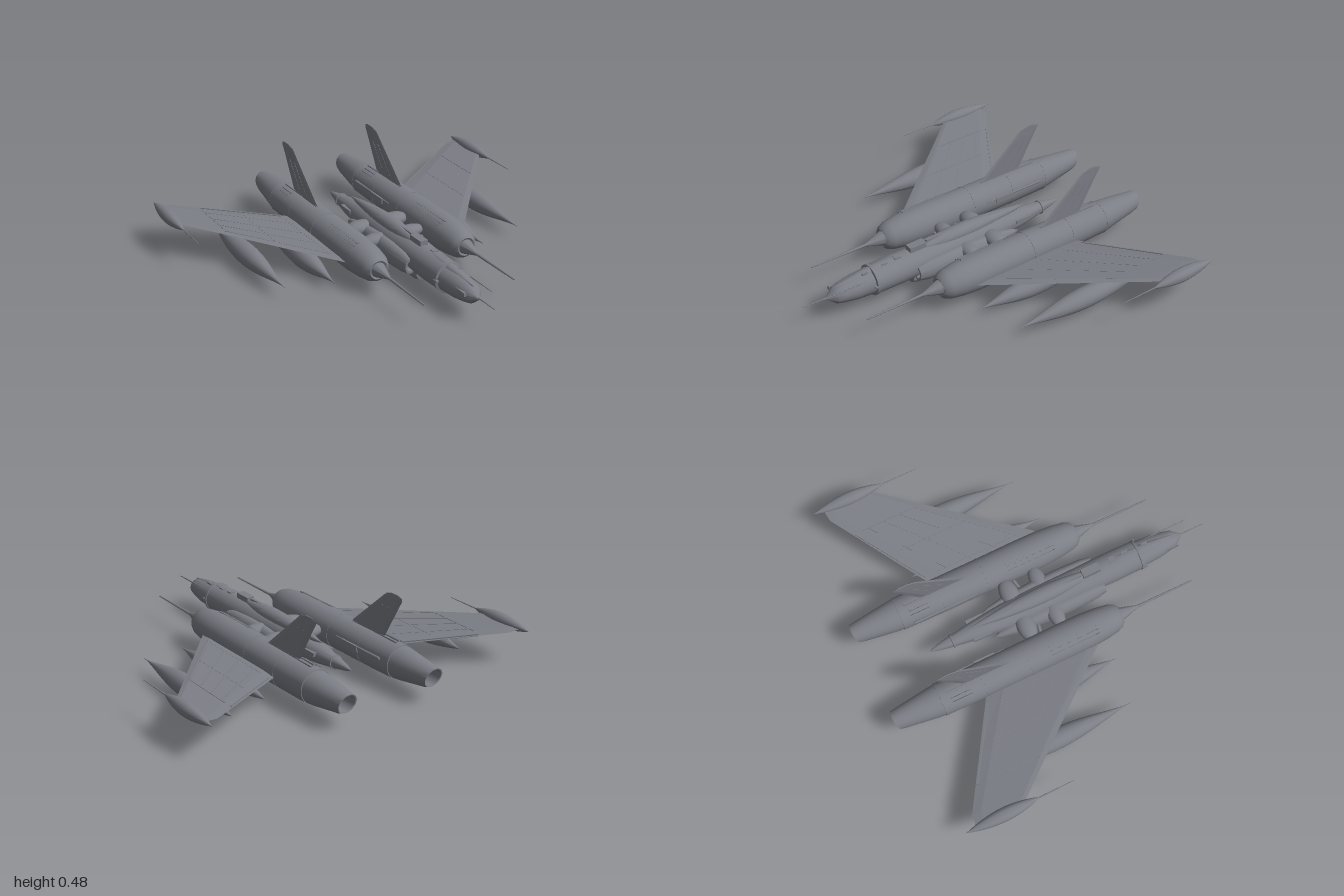
import * as THREE from 'three';
import { toCreasedNormals } from 'three/addons/utils/BufferGeometryUtils.js';

export function createModel() {
  const root = new THREE.Group();
  root.name = 'twinEngineAircraft';
  const hull = new THREE.MeshStandardMaterial({ color: 0x7c7e86 });
  hull.name = 'hullGrey';

  const add = (name, geo, x = 0, y = 0, z = 0) => {
    const mesh = new THREE.Mesh(geo, hull);
    mesh.name = name;
    mesh.position.set(x, y, z);
    root.add(mesh);
    return mesh;
  };
  const box = (name, w, h, d, x, y, z) => add(name, new THREE.BoxGeometry(w, h, d), x, y, z);

  // Body of revolution along z from [radius, z] pairs, rear to front
  const body = (pts, sx = 1, sy = 1, seg = 32) => {
    const g = new THREE.LatheGeometry(pts.map(([r, z]) => new THREE.Vector2(r, z)), seg);
    g.rotateX(Math.PI / 2);
    g.scale(sx, sy, 1);
    return toCreasedNormals(g, 0.5);
  };
  // Pointed teardrop between two z values, widest at zMid; needle = true draws out the front
  const pod = (r, z0, zMid, z1, sx = 1, sy = 1, needle = false) => {
    const pts = [];
    for (let i = 0; i <= 20; i++) {
      const z = z0 + (z1 - z0) * i / 20;
      const t = Math.min(1, z < zMid ? (zMid - z) / (zMid - z0) : (z - zMid) / (z1 - zMid));
      const k = needle && z > zMid ? Math.pow(1 - t * t, 1.75) : 1 - Math.pow(t, 1.9);
      pts.push([r * k, z]);
    }
    return body(pts, sx, sy, 24);
  };
  const rod = (name, r, z0, z1, x, y) => {
    const g = new THREE.CylinderGeometry(r * 0.5, r, z1 - z0, 8).rotateX(Math.PI / 2);
    return add(name, g, x, y, (z0 + z1) / 2);
  };
  // Thin flying surface lofted through sections [span, leadZ, trailZ, y, halfThickness]
  const surface = (sections) => {
    const rings = sections.map(([x, a, b, y, t]) =>
      [[0, 0], [0.1, t], [0.85, t], [1, 0], [0.85, -t], [0.1, -t]].map(([f, h]) => [x, y + h, a + (b - a) * f]));
    const out = [];
    const n = 6;
    for (let i = 0; i < rings.length - 1; i++) {
      for (let j = 0; j < n; j++) {
        const a = rings[i][j], b = rings[i][(j + 1) % n], c = rings[i + 1][(j + 1) % n], d = rings[i + 1][j];
        out.push(...a, ...d, ...b, ...b, ...d, ...c);
      }
    }
    const s = rings[0], e = rings[rings.length - 1];
    for (let k = 1; k < n - 1; k++) out.push(...s[0], ...s[k], ...s[k + 1], ...e[0], ...e[k + 1], ...e[k]);
    const g = new THREE.BufferGeometry();
    g.setAttribute('position', new THREE.Float32BufferAttribute(out, 3));
    g.computeVertexNormals();
    return g;
  };
  // Thin bar between two points
  const bar = (name, a, b, w, h) => {
    const A = new THREE.Vector3(...a), B = new THREE.Vector3(...b);
    const mesh = add(name, new THREE.BoxGeometry(w, h, A.distanceTo(B)));
    mesh.position.copy(A).add(B).multiplyScalar(0.5);
    mesh.lookAt(B);
  };

  // Central fuselage with nose and tail cones
  add('fuselage', body([[0, -0.66], [0.016, -0.61], [0.034, -0.52], [0.036, -0.5], [0.052, -0.4], [0.07, -0.22],
    [0.078, 0], [0.08, 0.3], [0.083, 0.42], [0.08, 0.57], [0.073, 0.58], [0.067, 0.68], [0.056, 0.75], [0.046, 0.79],
    [0.03, 0.81], [0.014, 0.83], [0, 0.85]], 1, 0.98), 0, 0.135, 0);
  add('noseRing', body([[0.074, 0.562], [0.084, 0.565], [0.084, 0.58], [0.072, 0.583]]), 0, 0.135, 0);
  add('tailRing', body([[0.03, -0.53], [0.038, -0.528], [0.038, -0.52], [0.03, -0.518]]), 0, 0.135, 0);
  rod('nosePitot', 0.004, 0.83, 0.975, 0, 0.14);
  rod('sideProbe', 0.004, 0.6, 0.88, 0.05, 0.178);
  box('probeFairing', 0.014, 0.02, 0.1, -0.05, 0.15, 0.745);
  // Spine and canopy ridge along the top
  add('dorsalSpine', pod(0.046, -0.42, 0.02, 0.36, 1, 0.95), 0, 0.2, 0);
  add('canopy', pod(0.036, 0.2, 0.5, 0.8), 0, 0.183, 0);
  box('windshield', 0.045, 0.03, 0.1, 0, 0.225, 0.29);
  box('dorsalRail', 0.016, 0.02, 0.36, 0, 0.228, 0.05);
  for (const z of [0.42, 0.5, 0.62]) box('noseHatch', 0.03, 0.01, 0.035, 0.01, 0.215 - (z - 0.42) * 0.05, z);
  // Belly pod
  add('bellyPod', body([[0, -0.2], [0.02, -0.16], [0.038, -0.04], [0.044, 0.1], [0.045, 0.3], [0.036, 0.335], [0, 0.34]],
    1.1, 1), 0, 0.053, 0);

  for (const s of [1, -1]) {
    const L = s === 1 ? 'left' : 'right';
    const ex = 0.262 * s, ey = 0.138;
    const wingY = (x) => 0.13 + (x - 0.35) * 0.11;
    const lead = (x) => 0.155 - (x - 0.36) * 1.22;
    const trail = (x) => -0.5 - (x - 0.36) * 0.62;

    // Cheek intakes beside the fuselage
    add(L + 'CheekIntake', body([[0, -0.32], [0.02, -0.28], [0.042, -0.18], [0.055, 0], [0.056, 0.15], [0.05, 0.28],
      [0.038, 0.335], [0.026, 0.335], [0.02, 0.3], [0, 0.3]], 0.85, 1.1), 0.075 * s, 0.112, 0);
    box(L + 'TailBracket', 0.035, 0.02, 0.1, 0.045 * s, 0.15, -0.37);
    box(L + 'NoseBlade', 0.02, 0.008, 0.03, 0.077 * s, 0.14, 0.58);

    // Engine nacelle with hollow nozzle and intake cone; the nozzle lip is cut at a slant
    const nacelle = body([[0, -0.78], [0.047, -0.78], [0.047, -0.965], [0.053, -0.967], [0.06, -0.93], [0.083, -0.76],
      [0.086, -0.72], [0.09, -0.715], [0.094, -0.5], [0.095, -0.2], [0.097, 0], [0.096, 0.13], [0.089, 0.22],
      [0.078, 0.29], [0.066, 0.32], [0.05, 0.335], [0.04, 0.33], [0.022, 0.39], [0.007, 0.44], [0, 0.44]]);
    const p = nacelle.attributes.position;
    for (let i = 0; i < p.count; i++) {
      if (p.getZ(i) < -0.95) p.setZ(i, p.getZ(i) - p.getY(i) * 0.3);
      if (p.getZ(i) < -0.72) p.setY(i, p.getY(i) - (p.getZ(i) + 0.72) * 0.03);
    }
    add(L + 'Nacelle', nacelle, ex, ey, 0);
    rod(L + 'IntakeSpike', 0.008, 0.42, 0.765, ex, ey);
    for (const [z, r] of [[-0.715, 0.091], [-0.48, 0.0955], [-0.22, 0.0965]]) {
      add(L + 'NacelleBand', body([[r - 0.008, z - 0.004], [r, z - 0.004], [r, z + 0.004], [r - 0.008, z + 0.004]]),
        ex, ey, 0);
    }
    // Louvres on the upper shoulder
    for (const [z, len] of [[-0.61, 0.11], [0.04, 0.28]]) {
      for (let i = 0; i < 3; i++) {
        const a = 0.3 + i * 0.24;
        const v = box(L + 'Louvre', 0.012, 0.008, len, ex - Math.sin(a) * 0.094, ey + Math.cos(a) * 0.094, z);
        v.rotation.z = a;
      }
    }
    // Service pipes and boxes on the inner flank
    rod(L + 'ServicePipe', 0.008, -0.66, -0.3, 0.17 * s, 0.16);
    box(L + 'ServiceBox', 0.02, 0.03, 0.12, 0.172 * s, 0.15, -0.42);
    box(L + 'NacelleStrake', 0.012, 0.012, 0.36, ex, ey + 0.092, -0.5);

    // Faired struts joining nacelle and fuselage
    for (const [z, r] of [[-0.14, 0.052], [0.03, 0.045]]) {
      const g = new THREE.SphereGeometry(1, 20, 14).scale(0.09, r * 0.75, r);
      add(L + 'StrutFairing', g, 0.1 * s, 0.145, z);
    }
    for (const z of [-0.06, 0.08]) {
      bar(L + 'StrutRod', [0.05 * s, 0.11, z], [0.21 * s, 0.11, z - 0.03], 0.014, 0.014);
    }

    // Swept wing with raised panel seams
    const sec = [[0.3, 0.007], [0.62, 0.007], [0.89, 0.005], [0.96, 0.004]].map(([x, t]) =>
      [x * s, lead(x), Math.max(trail(x), -0.838), wingY(x), t]);
    add(L + 'Wing', surface(s === 1 ? sec : sec.reverse()));
    const at = (x, f) => [x * s, wingY(x), lead(x) + (trail(x) - lead(x)) * f];
    for (const f of [0.12, 0.34, 0.56, 0.78]) bar(L + 'SparSeam', at(0.38, f), at(0.77, f), 0.005, 0.016);
    for (const x of [0.39, 0.58, 0.765]) bar(L + 'RibSeam', at(x, 0.1), at(x, 0.86), 0.005, 0.016);
    bar(L + 'FlapSeam', at(0.39, 0.97), at(0.76, 0.97), 0.008, 0.012);

    // Wing tip pod and probe
    add(L + 'TipPod', pod(0.037, -0.895, -0.68, -0.48), 0.962 * s, 0.197, 0);
    rod(L + 'TipProbe', 0.004, -0.5, -0.29, 0.962 * s, 0.197);

    // Underwing teardrop tanks with drawn-out noses
    add(L + 'InnerTank', pod(0.056, -0.56, -0.13, 0.228, 1, 1, true), 0.45 * s, 0.062, 0);
    add(L + 'OuterTank', pod(0.056, -0.66, -0.27, 0.18, 1, 1, true), 0.705 * s, 0.082, 0);

    // Tail fin standing on the nacelle
    const fin = surface([[0.19, -0.265, -0.56, 0, 0.006], [0.42, -0.53, -0.688, 0, 0.004],
      [0.455, -0.57, -0.71, 0, 0.003], [0.472, -0.593, -0.71, 0, 0.003],
      [0.482, -0.63, -0.685, 0, 0.002]]).rotateZ(Math.PI / 2);
    add(L + 'TailFin', fin, ex, 0, 0);
    for (const f of [0.35, 0.65]) {
      bar(L + 'FinSeam', [ex, 0.25, -0.335 - 0.26 * f], [ex, 0.4, -0.507 - 0.167 * f], 0.012, 0.005);
    }
  }
  return root;
}
